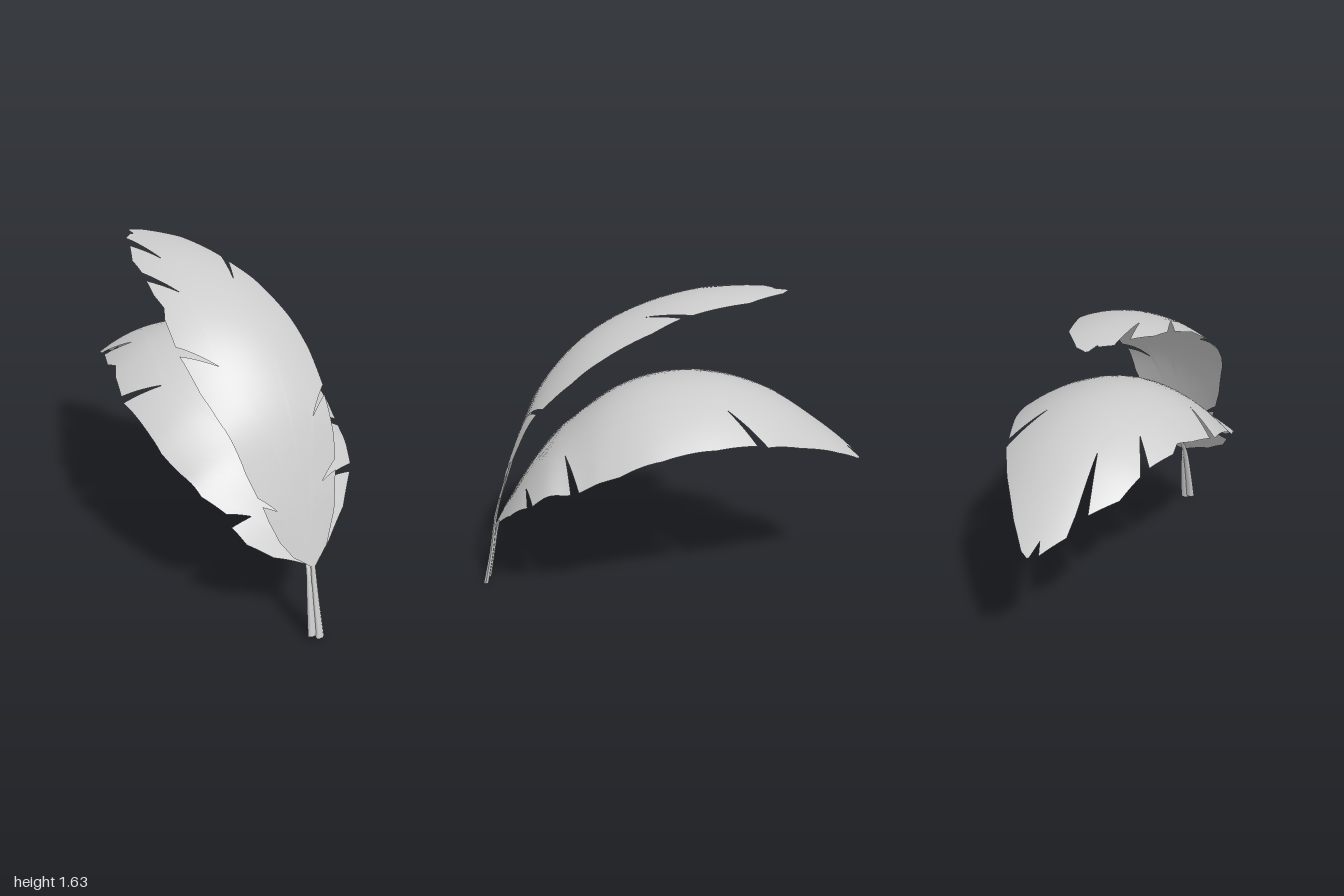
import * as THREE from 'three';
import { mergeVertices } from 'three/addons/utils/BufferGeometryUtils.js';

const material = new THREE.MeshStandardMaterial({ color: 0xcccccc, side: THREE.DoubleSide });
const { lerp, smoothstep } = THREE.MathUtils;

// Smooth height of the midrib as a function of z, from [z, y] points running base to tip
function midribHeight(points) {
  const samples = new THREE.SplineCurve(points.map(p => new THREE.Vector2(...p))).getPoints(200);
  return z => {
    let i = 1;
    while (i < samples.length - 1 && samples[i].x > z) i++;
    const a = samples[i - 1], b = samples[i];
    return lerp(a.y, b.y, (z - a.x) / (b.x - a.x));
  };
}

// Cuts a triangle into four, `level` times over
function subdivide(a, b, c, level, out) {
  if (level === 0) return out.push(a, b, c);
  const mid = (p, q) => p.clone().add(q).multiplyScalar(0.5);
  const ab = mid(a, b), bc = mid(b, c), ca = mid(c, a);
  for (const t of [[a, ab, ca], [ab, b, bc], [ca, bc, c], [ab, bc, ca]]) subdivide(...t, level - 1, out);
}

// A torn blade: the flat [x, z] outline is raised onto the midrib and drooped to both sides
function bladeGeometry({ spine, right, left, tipX, foot, droopStart, footDroop }) {
  const height = midribHeight(spine);
  const outline = [...right, ...left.slice().reverse()].map(p => new THREE.Vector2(...p));
  const flat = [];
  for (const [i, j, k] of THREE.ShapeUtils.triangulateShape(outline, [])) {
    const [a, b, c] = [outline[i], outline[j], outline[k]];
    const up = (b.y - a.y) * (c.x - a.x) - (b.x - a.x) * (c.y - a.y) > 0;
    subdivide(a, up ? b : c, up ? c : b, 4, flat);
  }
  const tipZ = spine[spine.length - 1][0];
  const position = flat.flatMap(({ x, y: z }) => {
    const dx = x - tipX * (foot - z) / (foot - tipZ);
    const slope = (height(z + 0.02) - height(z - 0.02)) / 0.04;
    const droop = lerp(0.8, footDroop, smoothstep(z, droopStart, 0.85));
    return [x, height(z) - droop * dx * dx * Math.hypot(1, slope), z];
  });
  const geometry = new THREE.BufferGeometry();
  geometry.setAttribute('position', new THREE.Float32BufferAttribute(position, 3));
  const merged = mergeVertices(geometry, 1e-5);
  merged.computeVertexNormals();
  return merged;
}

// Stem: loops of six corners along a curve, wide at the foot and thin at the top
function stemGeometry(points, radii) {
  const curve = new THREE.CatmullRomCurve3(points.map(p => new THREE.Vector3(...p)));
  const rows = 8, sides = 6;
  const geometry = new THREE.TubeGeometry(curve, rows, 1, sides, false);
  const pos = geometry.attributes.position, v = new THREE.Vector3();
  for (let i = 0; i < pos.count; i++) {
    const t = Math.floor(i / (sides + 1)) / rows;
    const centre = curve.getPointAt(t);
    v.fromBufferAttribute(pos, i).sub(centre).multiplyScalar(lerp(radii[0], radii[1], t));
    v.z *= 0.6;
    v.y *= 0.4;
    pos.setXYZ(i, centre.x + v.x, centre.y + v.y, centre.z + v.z);
  }
  geometry.computeVertexNormals();
  return geometry;
}

// Outlines run from foot to tip; each inward point is the end of a tear
const upperLeaf = {
  spine: [[0.925, 0.38], [0.85, 0.65], [0.8, 0.8], [0.71, 1.03], [0.62, 1.18], [0.48, 1.34], [0.32, 1.46],
    [0.1, 1.56], [-0.13, 1.62], [-0.36, 1.64], [-0.6, 1.63]],
  right: [[0.015, 0.922], [0.09, 0.898], [0.16, 0.85], [0.205, 0.785], [0.115, 0.807], [0.215, 0.765],
    [0.235, 0.72], [0.24, 0.625], [0.13, 0.69], [0.255, 0.59], [0.265, 0.45], [0.25, 0.3], [0.2, 0.06],
    [0.14, -0.08], [0.06, 0.1], [0.13, -0.13], [0.05, -0.4], [-0.08, -0.57], [-0.14, -0.6]],
  left: [[-0.015, 0.922], [-0.1, 0.9], [-0.16, 0.87], [-0.2, 0.835], [-0.22, 0.808], [-0.15, 0.83],
    [-0.235, 0.79], [-0.27, 0.74], [-0.33, 0.61], [-0.365, 0.5], [-0.385, 0.35], [-0.25, 0.47],
    [-0.383, 0.31], [-0.365, 0.18], [-0.34, 0.13], [-0.345, 0.04], [-0.33, -0.06], [-0.24, 0.1],
    [-0.32, -0.12], [-0.31, -0.24], [-0.25, -0.38], [-0.195, -0.16], [-0.21, -0.34], [-0.22, -0.48],
    [-0.17, -0.53], [-0.158, -0.52], [-0.15, -0.59]],
  tipX: -0.14, foot: 0.92, droopStart: 0.4, footDroop: 0.4,
};
const lowerLeaf = {
  spine: [[0.905, 0.38], [0.86, 0.46], [0.78, 0.6], [0.69, 0.735], [0.6, 0.85], [0.5, 0.94], [0.32, 1.09],
    [0.12, 1.18], [-0.09, 1.21], [-0.3, 1.19], [-0.55, 1.1], [-0.8, 0.93], [-1, 0.77]],
  right: [[0.015, 0.9], [0.13, 0.86], [0.27, 0.78], [0.385, 0.67], [0.22, 0.7], [0.41, 0.64], [0.48, 0.44],
    [0.26, 0.49], [0.49, 0.4], [0.52, 0.2], [0.505, 0], [0.45, -0.25], [0.37, -0.45], [0.23, -0.3],
    [0.355, -0.5], [0.25, -0.67], [0.1, -0.87], [0, -0.98], [-0.04, -1]],
  left: [[-0.015, 0.9], [-0.08, 0.88], [-0.18, 0.85], [-0.29, 0.79], [-0.335, 0.73], [-0.23, 0.735],
    [-0.34, 0.69], [-0.42, 0.6], [-0.49, 0.35], [-0.52, 0.03], [-0.35, 0.12], [-0.51, -0.01],
    [-0.47, -0.15], [-0.43, -0.23], [-0.44, -0.3], [-0.385, -0.45], [-0.28, -0.33], [-0.37, -0.51],
    [-0.33, -0.65], [-0.23, -0.77], [-0.155, -0.52], [-0.18, -0.79], [-0.18, -0.88], [-0.09, -0.98],
    [-0.07, -0.93], [-0.05, -0.995]],
  tipX: -0.04, foot: 0.9, droopStart: 0.2, footDroop: 0.3,
};

export function createModel() {
  const model = new THREE.Group();
  const add = (geometry, name) => {
    const mesh = new THREE.Mesh(geometry, material);
    mesh.name = name;
    model.add(mesh);
  };
  add(bladeGeometry(upperLeaf), 'upperLeaf');
  add(bladeGeometry(lowerLeaf), 'lowerLeaf');
  add(stemGeometry([[0.012, 0.01, 0.985], [0.008, 0.2, 0.945], [0.002, 0.4, 0.912], [0, 0.52, 0.88]],
    [0.024, 0.01]), 'upperLeafStem');
  add(stemGeometry([[-0.027, 0.03, 0.975], [-0.022, 0.2, 0.94], [-0.012, 0.38, 0.898], [-0.004, 0.47, 0.845]],
    [0.025, 0.012]), 'lowerLeafStem');
  return model;
}
